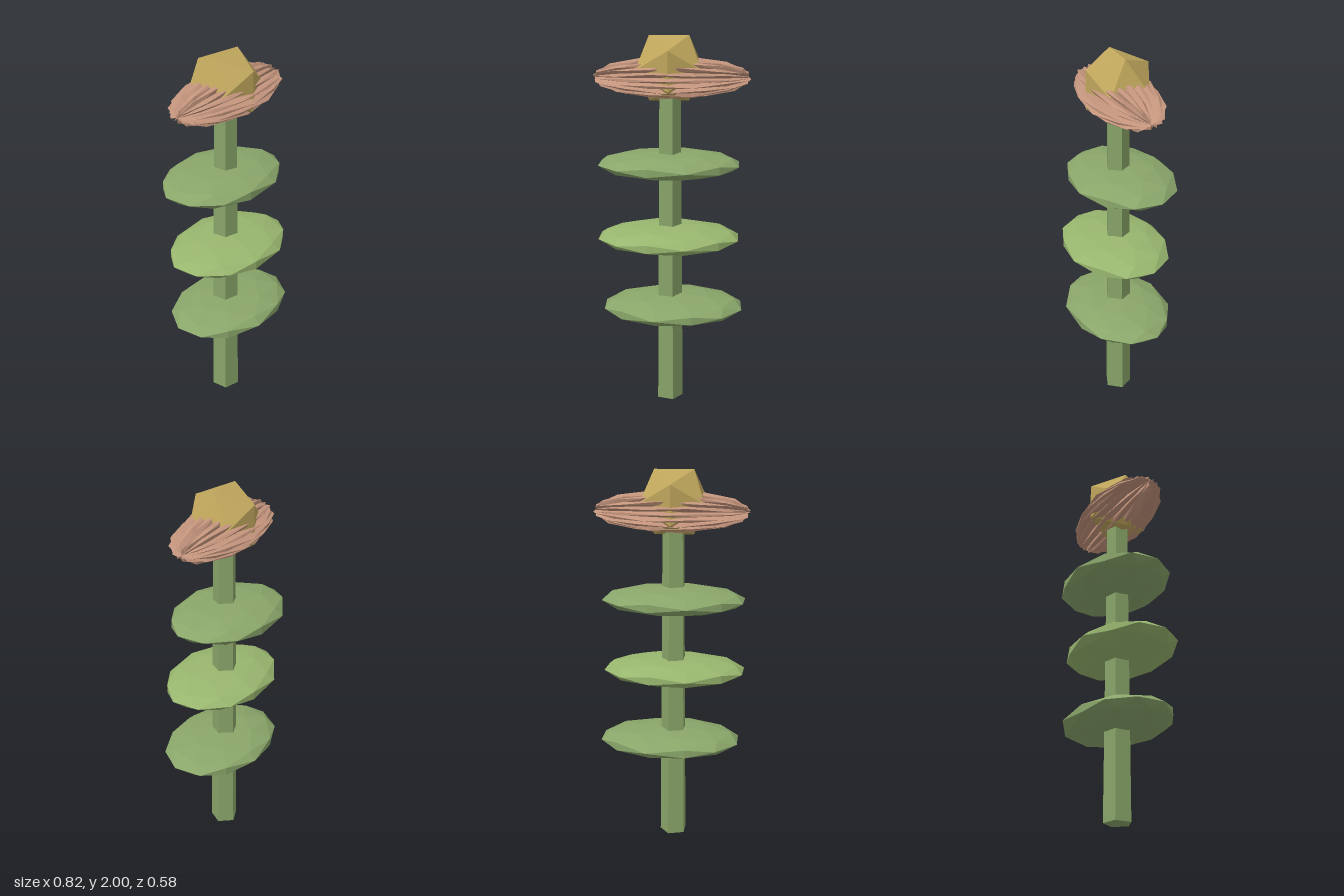
import * as THREE from 'three';

const material = (color) => new THREE.MeshStandardMaterial({ color, flatShading: true });

function addPart(parent, name, geometry, mat) {
  const mesh = new THREE.Mesh(geometry, mat);
  mesh.name = name;
  parent.add(mesh);
  return mesh;
}

// Faceted, flattened disc; the turn sets where its corners fall
function discGeometry(rx, ry, rz, turn) {
  return new THREE.IcosahedronGeometry(1, 1).rotateY(turn).scale(rx, ry, rz);
}

export function createModel() {
  const model = new THREE.Group();
  model.name = 'flower';
  const axisX = -0.014;

  // Five-sided tapering stem, one edge towards +x
  const stem = addPart(model, 'stem',
    new THREE.CylinderGeometry(0.06, 0.075, 1.78, 5, 1, false, Math.PI / 2), material(0x88a468));
  stem.position.set(axisX, 0.89, 0);

  // Three tiers of leaves, each slightly off the stem axis
  const leaves = [
    { name: 'lowerLeaf', at: [0.008, 0.54, 0.01], color: 0x8aa66a, turn: -0.26 },
    { name: 'middleLeaf', at: [-0.015, 0.933, 0.018], color: 0x98b66e, turn: 0.26 },
    { name: 'upperLeaf', at: [-0.015, 1.325, -0.02], color: 0x8aa66a, turn: 0.26 },
  ];
  for (const { name, at, color, turn } of leaves) {
    addPart(model, name, discGeometry(0.385, 0.07, 0.278, turn), material(color)).position.set(...at);
  }

  // Thin petals fanned about the x axis, squashed into a spiky oval
  const petals = new THREE.Group();
  petals.name = 'petals';
  petals.position.set(0, 1.785, 0);
  const petalMaterial = material(0xc3947c);
  const petalCount = 10;
  for (let i = 0; i < petalCount; i++) {
    const geometry = discGeometry(0.41, 0.04, 0.195, i % 2 ? 0.26 : -0.1)
      .rotateX((i * Math.PI) / petalCount)
      .scale(1, 0.57, 1);
    addPart(petals, 'petal', geometry, petalMaterial);
  }
  model.add(petals);

  // Golden centre with an edge on top
  const centre = addPart(model, 'flowerCentre', new THREE.IcosahedronGeometry(0.197, 0), material(0xbfa65c));
  centre.position.set(axisX, 1.832, 0);

  return model;
}
